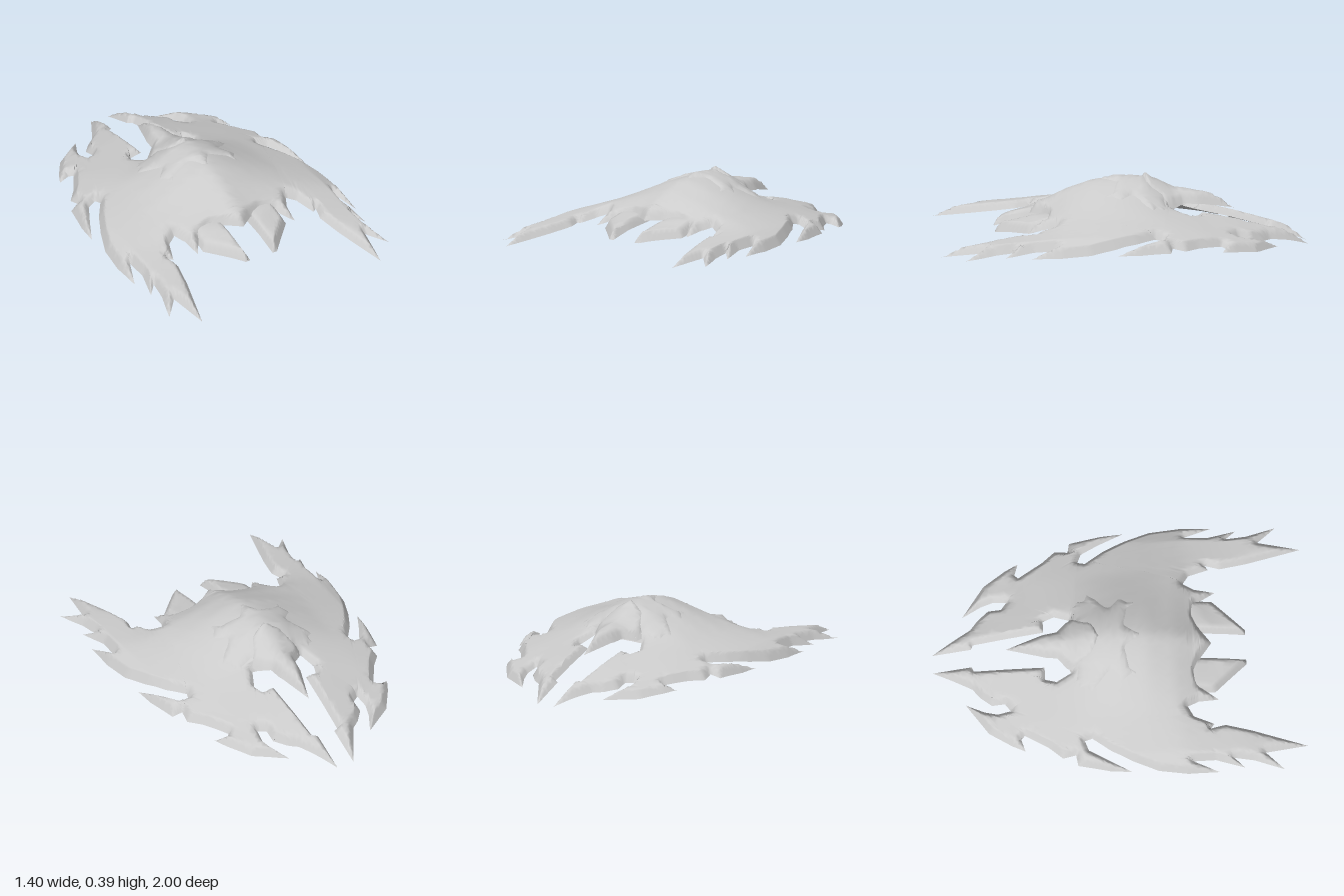
import * as THREE from 'three';
import { mergeGeometries, mergeVertices } from 'three/addons/utils/BufferGeometryUtils.js';

// Height of the curved shell: rows run along z, columns across x.
const COLS = [0, 0.1, 0.2, 0.4, 0.6, 0.71];
const ROWS = [
  [-1.0, 0.045, 0.045, 0.045, 0.045, 0.045, 0.045],
  [-0.8, 0.125, 0.11, 0.085, 0.06, 0.06, 0.06],
  [-0.6, 0.18, 0.165, 0.145, 0.1, 0.08, 0.08],
  [-0.4, 0.23, 0.21, 0.19, 0.15, 0.1, 0.09],
  [-0.25, 0.28, 0.265, 0.23, 0.18, 0.125, 0.09],
  [-0.12, 0.365, 0.335, 0.28, 0.2, 0.14, 0.09],
  [0.02, 0.37, 0.345, 0.305, 0.215, 0.15, 0.095],
  [0.15, 0.36, 0.335, 0.3, 0.22, 0.155, 0.1],
  [0.3, 0.31, 0.285, 0.26, 0.21, 0.155, 0.1],
  [0.4, 0.26, 0.23, 0.21, 0.18, 0.15, 0.1],
  [0.5, 0.22, 0.195, 0.18, 0.165, 0.14, 0.095],
  [0.7, 0.15, 0.15, 0.15, 0.135, 0.125, 0.09],
  [1.0, 0.09, 0.09, 0.09, 0.09, 0.09, 0.09],
];

function span(list, v) {
  let i = 0;
  while (i < list.length - 2 && v > list[i + 1]) i++;
  return [i, THREE.MathUtils.clamp((v - list[i]) / (list[i + 1] - list[i]), 0, 1)];
}

function shellHeight(x, z) {
  const [c, u] = span(COLS, Math.abs(x));
  const [r, v] = span(ROWS.map((row) => row[0]), z);
  const at = (row) => THREE.MathUtils.lerp(row[c + 1], row[c + 2], u);
  return THREE.MathUtils.lerp(at(ROWS[r]), at(ROWS[r + 1]), v);
}

// Right half of an outline (front centre to back centre) completed by mirroring.
function mirrored(half) {
  const other = half.filter(([x]) => x > 0).reverse().map(([x, z]) => [-x, z]);
  return [...half, ...other];
}

function edgeDistance(p, pts) {
  let best = Infinity;
  for (let i = 0; i < pts.length; i++) {
    const a = pts[i], b = pts[(i + 1) % pts.length];
    const dx = b.x - a.x, dy = b.y - a.y;
    const t = THREE.MathUtils.clamp(((p.x - a.x) * dx + (p.y - a.y) * dy) / (dx * dx + dy * dy), 0, 1);
    best = Math.min(best, Math.hypot(p.x - a.x - dx * t, p.y - a.y - dy * t));
  }
  return best;
}

// Split long edges until the mesh is fine at the rim and coarser inside.
function refine(tris, pts) {
  const split = (a, b) => {
    const length = a.distanceTo(b);
    if (length < 0.022) return null;
    const m = a.clone().add(b).multiplyScalar(0.5);
    return length > Math.min(0.08, Math.max(0.022, edgeDistance(m, pts))) ? m : null;
  };
  for (let pass = 0; pass < 7; pass++) {
    tris = tris.flatMap(([a, b, c]) => {
      const ab = split(a, b), bc = split(b, c), ca = split(c, a);
      if (ab && bc && ca) return [[a, ab, ca], [ab, b, bc], [ca, bc, c], [ab, bc, ca]];
      // Turn the corners so that an unsplit edge comes last.
      const [p, q, r, pq, qr] = !ca ? [a, b, c, ab, bc] : !ab ? [b, c, a, bc, ca] : [c, a, b, ca, ab];
      if (pq && qr) return [[pq, q, qr], [p, pq, qr], [p, qr, r]];
      if (pq) return [[p, pq, r], [pq, q, r]];
      if (qr) return [[p, q, qr], [p, qr, r]];
      return [[p, q, r]];
    });
  }
  return tris;
}

function smoothSheet(position) {
  const geometry = new THREE.BufferGeometry();
  geometry.setAttribute('position', new THREE.Float32BufferAttribute(position, 3));
  const merged = mergeVertices(geometry, 1e-5);
  merged.computeVertexNormals();
  return merged;
}

// A curved plate: a flat outline lifted to a height rule. The skin is thin
// and its rim bends down by the given drop.
function plate(name, outline, height, drop, rim = 0.028, skin = 0.02) {
  const pts = outline.map(([x, z]) => new THREE.Vector2(x, z));
  const flat = THREE.ShapeUtils.triangulateShape(pts, []).map((f) => f.map((i) => pts[i]));
  const top = [], underside = [];
  for (const tri of refine(flat, pts)) {
    const [a, b, c] = tri;
    const area = (b.x - a.x) * (c.y - a.y) - (b.y - a.y) * (c.x - a.x);
    if (Math.abs(area) < 1e-10) continue;
    const up = area < 0 ? tri : [a, c, b];
    const data = up.map((p) => {
      const k = Math.min(edgeDistance(p, pts) / rim, 1);
      const y = height(p.x, p.y);
      return [p.x, p.y, y - drop * (1 - k), y - drop * (1 - k) - skin * k];
    });
    for (const [x, z, high] of data) top.push(x, high, z);
    for (const [x, z, , low] of data.reverse()) underside.push(x, low, z);
  }
  const material = new THREE.MeshStandardMaterial({ color: 0xcccccc, side: THREE.DoubleSide });
  const mesh = new THREE.Mesh(mergeGeometries([smoothSheet(top), smoothSheet(underside)]), material);
  mesh.name = name;
  return mesh;
}

export function createModel() {
  const model = new THREE.Group();
  model.name = 'wingedHull';

  // Main shell with clawed front arms, side barbs and rear prongs
  const hull = [
    [0, 0.5], [0.08, 0.44], [0.16, 0.41], [0.24, 0.43], [0.305, 0.53], [0.32, 0.42], [0.35, 0.36],
    [0.4, 0.39], [0.44, 0.5], [0.465, 0.48], [0.445, 0.56], [0.475, 0.7], [0.56, 0.998],
    [0.6, 0.77], [0.69, 0.87], [0.64, 0.71], [0.625, 0.6], [0.675, 0.655], [0.635, 0.5], [0.64, 0.38],
    [0.695, 0.52], [0.7, 0.35], [0.68, 0.19], [0.63, 0.06], [0.57, -0.06], [0.5, -0.16], [0.51, -0.2],
    [0.56, -0.18], [0.62, -0.07], [0.68, 0.05], [0.67, -0.07], [0.635, -0.24], [0.58, -0.25], [0.59, -0.32],
    [0.53, -0.39], [0.45, -0.52], [0.47, -0.54], [0.535, -0.52], [0.5, -0.59], [0.42, -0.71], [0.25, -0.83],
    [0.3, -0.73], [0.32, -0.66], [0.31, -0.59], [0.27, -0.62], [0.27, -0.69], [0.22, -0.75], [0.17, -0.79],
    [0.05, -1], [0.05, -0.79], [0.075, -0.78], [0.1, -0.4], [0.165, -0.4], [0.185, -0.34],
    [0.15, -0.26], [0.1, -0.28], [0, -0.3],
  ];
  model.add(plate('mainShell', mirrored(hull), shellHeight, 0.042));

  // Slightly raised dorsal hood with jagged edges
  const hood = [
    [0, 0.15], [0.07, 0.05], [0.16, 0.07], [0.24, 0.195], [0.225, 0.06], [0.26, 0.01], [0.2, -0.05],
    [0.32, -0.17], [0.26, -0.19], [0.28, -0.28], [0.235, -0.24], [0.24, -0.34], [0.19, -0.25],
    [0.14, -0.24], [0.12, -0.28], [0.08, -0.24], [0, -0.25],
  ];
  model.add(plate('dorsalHood', mirrored(hood), (x, z) => shellHeight(x, z) + 0.012, 0.025, 0.04));

  // Pointed tail spine between the rear prongs
  const spine = [
    [0, -0.09], [0.1, -0.13], [0.15, -0.24], [0.13, -0.28], [0.075, -0.33], [0.065, -0.4], [0, -0.605],
  ];
  const SPINE_RIDGE = [[-0.605, 0.235], [-0.42, 0.295], [-0.28, 0.315], [-0.13, 0.39], [-0.09, 0.39]];
  const spineHeight = (x, z) => {
    const [i, t] = span(SPINE_RIDGE.map((p) => p[0]), z);
    return THREE.MathUtils.lerp(SPINE_RIDGE[i][1], SPINE_RIDGE[i + 1][1], t) - 0.45 * Math.abs(x);
  };
  model.add(plate('tailSpine', mirrored(spine), spineHeight, 0.04, 0.028, 0.04));

  // Blunt mandibles running forward out of the shell, either side of the nose
  const mandible = [[0.07, 0.34], [0.07, 0.685], [0.098, 0.685], [0.26, 0.51], [0.255, 0.34]];
  const mandibleHeight = (x, z) => Math.min(
    shellHeight(x, z) - 0.012,
    THREE.MathUtils.mapLinear(z, 0.34, 0.685, 0.205, 0.16),
  );
  for (const side of [1, -1]) {
    const outline = mandible.map(([x, z]) => [side * x, z]);
    model.add(plate(side > 0 ? 'leftMandible' : 'rightMandible', outline, mandibleHeight, 0.05, 0.026, 0.03));
  }
  return model;
}
